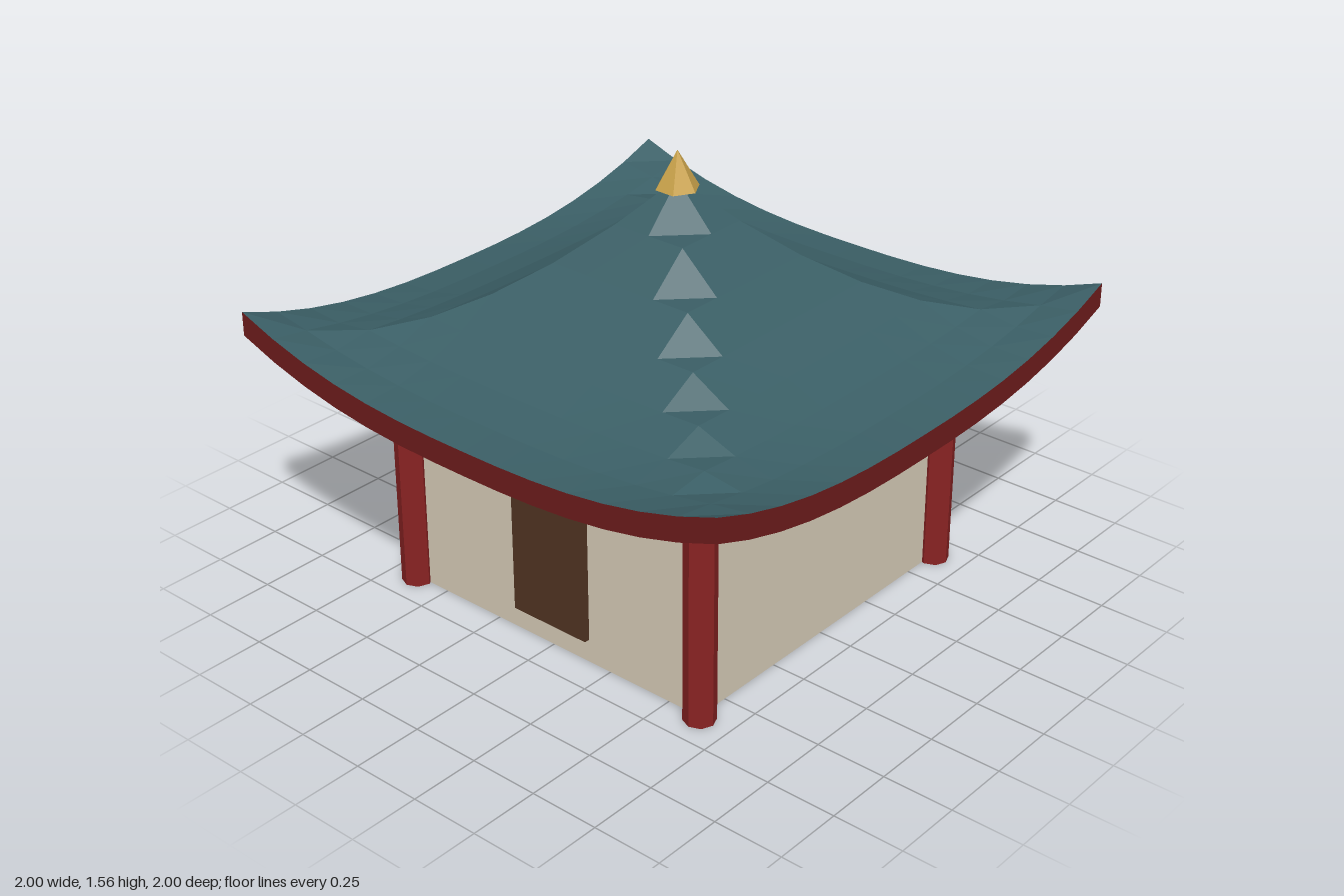
import * as THREE from 'three';

const SEG = 14;          // roof grid divisions
const SHELL = 0.044;     // roof thickness
const FASCIA = 0.085;    // height of the eave band

const mat = (color, extra = {}) => new THREE.MeshStandardMaterial({ color, flatShading: true, ...extra });

// Concave pyramid with upswept corners
function roofHeight(x, z) {
  const r = Math.min(1, Math.max(Math.abs(x), Math.abs(z)));
  return 0.885 + 0.575 * (1 - r) ** 2 + 0.155 * Math.abs(x * z) ** 2.6;
}

function bentSheet(turn, drop) {
  const geo = new THREE.PlaneGeometry(2, 2, SEG, SEG).rotateX(turn);
  const p = geo.attributes.position;
  for (let i = 0; i < p.count; i++) p.setY(i, roofHeight(p.getX(i), p.getZ(i)) - drop);
  geo.computeVertexNormals();
  return geo;
}

export function createModel() {
  const group = new THREE.Group();
  const red = mat(0x8b2323);
  const darkRed = mat(0x6e1c1c, { side: THREE.DoubleSide });
  const gold = mat(0xc9a24a);

  const add = (name, geo, material, x = 0, y = 0, z = 0, parent = group) => {
    const mesh = new THREE.Mesh(geo, material);
    mesh.name = name;
    mesh.position.set(x, y, z);
    parent.add(mesh);
    return mesh;
  };

  // Walled room and door
  add('walls', new THREE.BoxGeometry(1.25, 0.8, 1.25), mat(0xd8cdb9), 0, 0.4, 0);
  add('door', new THREE.BoxGeometry(0.315, 0.58, 0.03), mat(0x523523), 0, 0.375, 0.63);

  // Corner columns
  const column = new THREE.CylinderGeometry(0.055, 0.055, 0.835, 8);
  for (const x of [-0.635, 0.635])
    for (const z of [-0.635, 0.635]) add('column', column, red, x, 0.4175, z);

  // Top beams and eave plate
  const beam = new THREE.BoxGeometry(1.27, 0.08, 0.08);
  for (let i = 0; i < 4; i++) {
    const a = (i * Math.PI) / 2;
    add('beam', beam, red, 0.635 * Math.sin(a), 0.795, 0.635 * Math.cos(a)).rotation.y = a;
  }
  add('eavePlate', new THREE.BoxGeometry(1.48, 0.03, 1.48), gold, 0, 0.85, 0);

  // Roof skin and its underside
  add('roofTop', bentSheet(-Math.PI / 2, 0), mat(0x3b5f66));
  add('roofUnderside', bentSheet(Math.PI / 2, SHELL), mat(0x20373b));

  // Curved band hanging along each eave
  const band = new THREE.PlaneGeometry(2, FASCIA, SEG, 1);
  const p = band.attributes.position;
  for (let i = 0; i < p.count; i++) {
    const top = roofHeight(p.getX(i), 1);
    p.setXYZ(i, p.getX(i), p.getY(i) > 0 ? top : top - FASCIA, 1);
  }
  for (let i = 0; i < 4; i++) add('fascia', band, darkRed).rotation.y = (i * Math.PI) / 2;

  // Finial
  add('finial', new THREE.ConeGeometry(0.075, 0.13, 6).rotateY(Math.PI / 6), gold, 0, 1.495, 0);

  return group;
}
